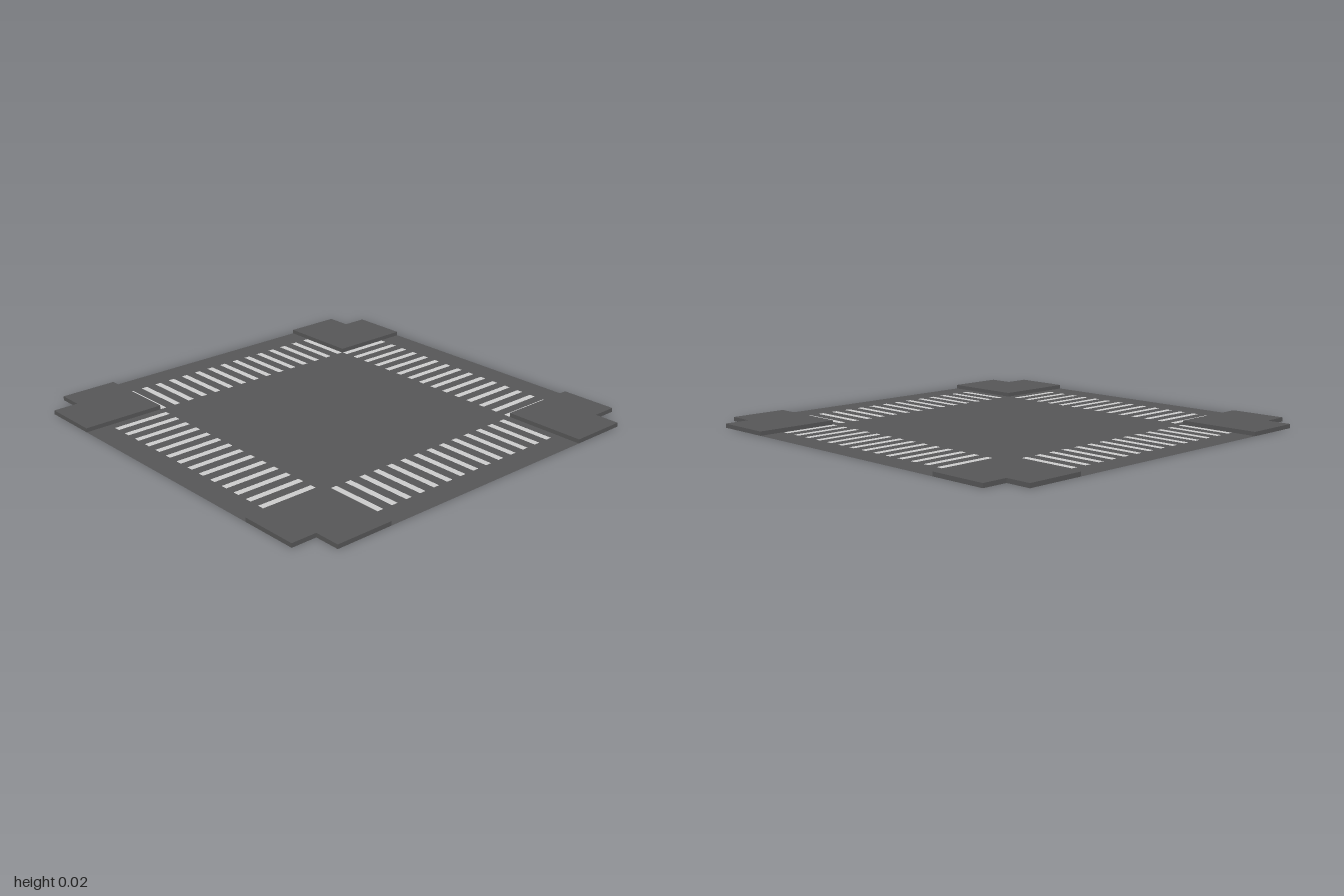
import * as THREE from 'three';

const INNER = 0.59, NOTCH = 0.875, OUTER = 1, CURB = 0.02;
const asphalt = new THREE.MeshStandardMaterial({ color: 0x565657, side: THREE.DoubleSide });
const paint = new THREE.MeshStandardMaterial({ color: 0xcccccc, side: THREE.DoubleSide });

// Outline from corner points; the path's y becomes -z once laid flat
const outline = (points, Type = THREE.Shape) =>
  new Type(points.map(([x, y]) => new THREE.Vector2(x, y)));

function flat(geometry, material, name) {
  geometry.rotateX(-Math.PI / 2);
  const mesh = new THREE.Mesh(geometry, material);
  mesh.name = name;
  return mesh;
}

// Corner points of one crosswalk: a row of bars across one arm of the road
function crosswalkBars(count, alongX, sign) {
  const pitch = 0.0815, half = 0.016;
  const near = sign * INNER, far = sign * NOTCH;
  return Array.from({ length: count }, (_, i) => {
    const c = (i - (count - 1) / 2) * pitch;
    const bar = [[c - half, near], [c + half, near], [c + half, far], [c - half, far]];
    return alongX ? bar : bar.map(([a, b]) => [b, a]);
  });
}

export function createModel() {
  const model = new THREE.Group();
  model.name = 'roadCrossing';

  const crosswalks = {
    backCrosswalk: crosswalkBars(15, true, 1),
    frontCrosswalk: crosswalkBars(14, true, -1),
    leftCrosswalk: crosswalkBars(15, false, 1),
    rightCrosswalk: crosswalkBars(14, false, -1),
  };

  // Cross-shaped road sheet, cut out where the painted bars sit
  const a = INNER, b = OUTER;
  const road = outline([
    [-a, -b], [a, -b], [a, -a], [b, -a], [b, a], [a, a],
    [a, b], [-a, b], [-a, a], [-b, a], [-b, -a], [-a, -a],
  ]);
  for (const bars of Object.values(crosswalks))
    for (const bar of bars) road.holes.push(outline(bar, THREE.Path));
  model.add(flat(new THREE.ShapeGeometry(road), asphalt, 'road'));

  // Painted bars, flush with the road
  for (const [name, bars] of Object.entries(crosswalks))
    model.add(flat(new THREE.ShapeGeometry(bars.map(bar => outline(bar))), paint, name));

  // Raised pavement corners with a notched outer edge
  const pavement = outline([
    [INNER, INNER], [OUTER, INNER], [OUTER, NOTCH],
    [NOTCH, NOTCH], [NOTCH, OUTER], [INNER, OUTER],
  ]);
  ['backLeft', 'backRight', 'frontRight', 'frontLeft'].forEach((place, i) => {
    const slab = new THREE.ExtrudeGeometry(pavement, { depth: CURB, bevelEnabled: false });
    const mesh = flat(slab, asphalt, place + 'Pavement');
    mesh.rotation.y = i * Math.PI / 2;
    model.add(mesh);
  });

  return model;
}
